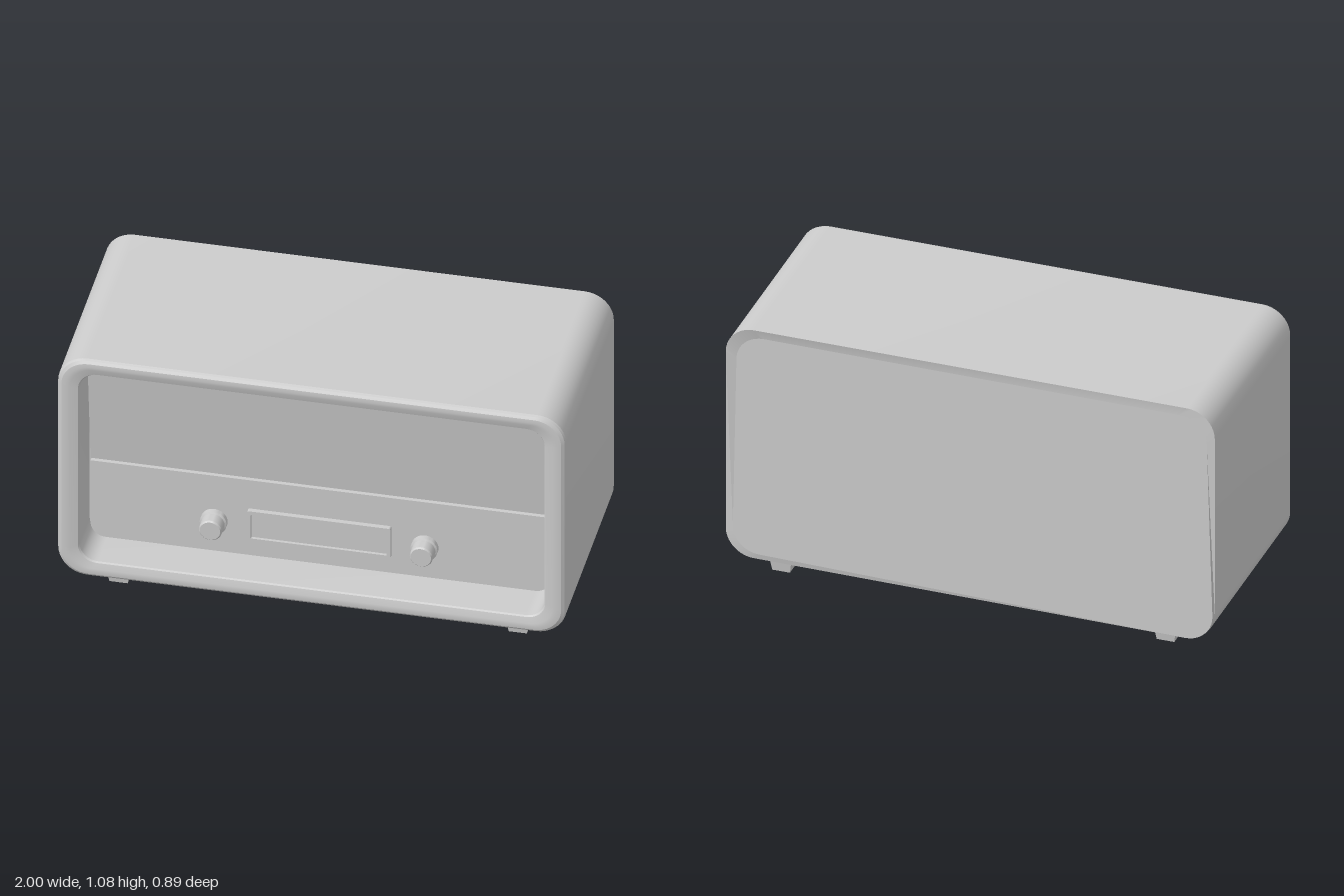
import * as THREE from 'three';
import { toCreasedNormals } from 'three/addons/utils/BufferGeometryUtils.js';

const material = new THREE.MeshStandardMaterial({ color: 0xcccccc });
const MID = 0.575, HALF_H = 0.505;

function addMesh(parent, name, geometry, x = 0, y = 0, z = 0) {
  const mesh = new THREE.Mesh(geometry, material);
  mesh.name = name;
  mesh.position.set(x, y, z);
  parent.add(mesh);
  return mesh;
}

// Rounded rectangle with separate radii for its bottom and top corners.
function roundedShape(x0, y0, x1, y1, rBottom, rTop, Type = THREE.Shape) {
  const s = new Type();
  s.moveTo(x0 + rBottom, y0);
  s.lineTo(x1 - rBottom, y0);
  if (rBottom) s.absarc(x1 - rBottom, y0 + rBottom, rBottom, -Math.PI / 2, 0);
  s.lineTo(x1, y1 - rTop);
  if (rTop) s.absarc(x1 - rTop, y1 - rTop, rTop, 0, Math.PI / 2);
  s.lineTo(x0 + rTop, y1);
  if (rTop) s.absarc(x0 + rTop, y1 - rTop, rTop, Math.PI / 2, Math.PI);
  s.lineTo(x0, y0 + rBottom);
  if (rBottom) s.absarc(x0 + rBottom, y0 + rBottom, rBottom, Math.PI, Math.PI * 1.5);
  return s;
}

// One counter-clockwise cross-section of the cabinet, inset by dx and dy.
function ring(dx, dy, z) {
  const w = 1 - dx, h = HALF_H - dy, r = 0.115 - 0.5 * dx, n = 10, points = [];
  [[1, 1], [-1, 1], [-1, -1], [1, -1]].forEach(([sx, sy], corner) => {
    for (let i = 0; i <= n; i++) {
      const a = (corner + i / n) * Math.PI / 2;
      points.push(new THREE.Vector3(
        sx * (w - r) + r * Math.cos(a), MID + sy * (h - r) + r * Math.sin(a), z));
    }
  });
  return points;
}

function loft(rings) {
  const positions = [];
  const push = (...points) => points.forEach((p) => positions.push(p.x, p.y, p.z));
  for (let k = 0; k < rings.length - 1; k++) {
    const a = rings[k], b = rings[k + 1];
    for (let i = 0; i < a.length; i++) {
      const j = (i + 1) % a.length;
      push(a[i], a[j], b[j], a[i], b[j], b[i]);
    }
  }
  const g = new THREE.BufferGeometry();
  g.setAttribute('position', new THREE.Float32BufferAttribute(positions, 3));
  return toCreasedNormals(g, 0.35);
}

// Back panel leans out towards its lower right corner.
const backZ = (x, y) => -0.443 + 0.0065 * (x + 1) + 0.018 * (y - 0.07);

function backPanelRing() {
  return ring(0, 0, 0).map((p) => {
    const inset = 0.04 * THREE.MathUtils.clamp((backZ(p.x, p.y) + 0.443) / 0.02, 0, 1);
    const x = p.x * (1 - inset);
    const y = MID + (p.y - MID) * (1 - inset * 1.9);
    return new THREE.Vector3(x, y, backZ(x, y));
  });
}

function extrude(shape, depth) {
  return new THREE.ExtrudeGeometry(shape, { depth, bevelEnabled: false, curveSegments: 10 });
}

export function createModel() {
  const group = new THREE.Group();
  group.name = 'tabletopRadio';

  // Back panel
  const back = backPanelRing();
  const centre = back.map(() => new THREE.Vector3(0, MID, backZ(0, MID)));
  addMesh(group, 'backPanel', loft([centre, back]));

  // Cabinet shell, from the back edge to the front edge
  addMesh(group, 'cabinet', loft([back, ring(0, 0, -0.425), ring(0, 0, 0.427)]));

  // Front bezel and the walls and floor of the recess
  const floor = ring(0.085, 0.068, 0.25);
  addMesh(group, 'frontBezel', loft([
    ring(0, 0, 0.427),
    ring(0.004, 0.004, 0.437),
    ring(0.016, 0.014, 0.445),
    ring(0.032, 0.028, 0.447),
    ring(0.05, 0.04, 0.445),
    ring(0.08, 0.064, 0.437),
    ring(0.085, 0.068, 0.43),
    floor,
    floor.map(() => new THREE.Vector3(0, MID, 0.25)),
  ]));

  // Speaker panel, leaning forward towards the top
  const speaker = extrude(roundedShape(-0.905, 0.512, 0.905, 1.0, 0, 0.06), 0.03);
  const p = speaker.attributes.position;
  for (let i = 0; i < p.count; i++) {
    p.setZ(i, p.getZ(i) + 0.25 + (p.getY(i) - 0.512) * 0.113);
  }
  speaker.computeVertexNormals();
  addMesh(group, 'speakerPanel', speaker);

  // Control panel
  addMesh(group, 'controlPanel',
    extrude(roundedShape(-0.905, 0.15, 0.905, 0.5, 0.06, 0), 0.03), 0, 0, 0.25);

  // Display frame and glass
  const frame = roundedShape(-0.285, 0.226, 0.28, 0.368, 0.008, 0.008);
  frame.holes.push(roundedShape(-0.27, 0.242, 0.265, 0.352, 0.003, 0.003, THREE.Path));
  addMesh(group, 'displayFrame', extrude(frame, 0.02), 0, 0, 0.28);
  addMesh(group, 'displayGlass', new THREE.BoxGeometry(0.535, 0.11, 0.01), -0.0025, 0.297, 0.283);

  // Knobs with a collar and a rounded front edge
  const knobProfile = [[0.053, 0], [0.053, 0.02], [0.046, 0.024], [0.045, 0.07], [0.04, 0.076], [0, 0.076]]
    .map(([r, h]) => new THREE.Vector2(r, h));
  const knob = toCreasedNormals(new THREE.LatheGeometry(knobProfile, 32).rotateX(Math.PI / 2), 0.5);
  addMesh(group, 'rightKnob', knob, -0.418, 0.292, 0.28);
  addMesh(group, 'leftKnob', knob, 0.412, 0.292, 0.28);

  // Tapered square feet
  const foot = new THREE.CylinderGeometry(0.048 * Math.SQRT2, 0.036 * Math.SQRT2, 0.075, 4, 1)
    .rotateY(Math.PI / 4).toNonIndexed();
  foot.computeVertexNormals();
  for (const x of [-0.778, 0.794]) {
    for (const z of [0.321, -0.333]) {
      addMesh(group, (z > 0 ? 'front' : 'back') + (x > 0 ? 'Left' : 'Right') + 'Foot', foot, x, 0.0375, z);
    }
  }
  return group;
}
